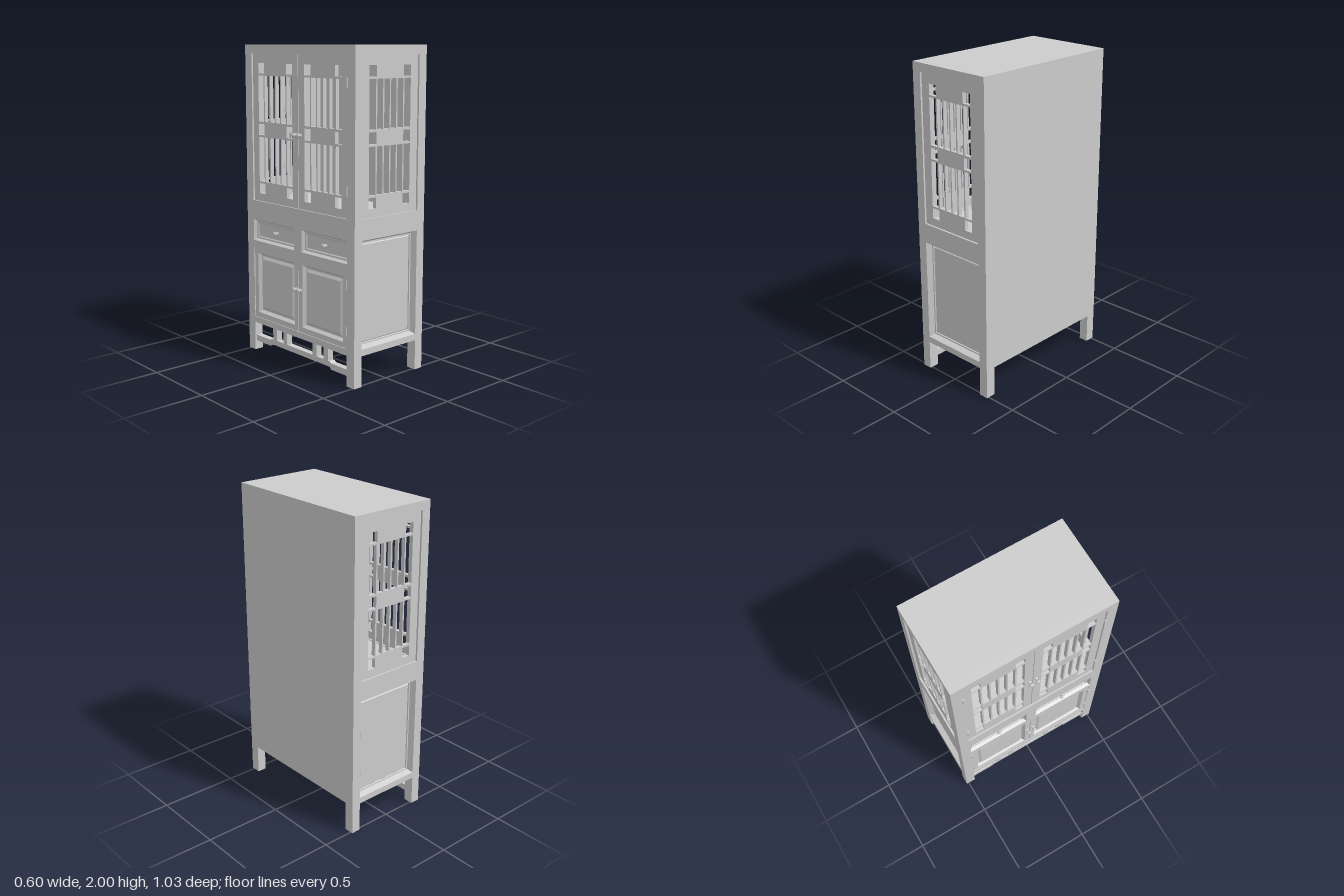
import * as THREE from 'three';

const mat = new THREE.MeshStandardMaterial({ color: 0xcccccc, side: THREE.DoubleSide });
const HX = 0.2875, HZ = 0.515, POST = 0.065;

function add(parent, name, geo, x = 0, y = 0, z = 0) {
  const m = new THREE.Mesh(geo, mat);
  m.name = name;
  m.position.set(x, y, z);
  parent.add(m);
  return m;
}

// box given by its limits
function block(parent, name, x0, x1, y0, y1, z0, z1) {
  return add(parent, name, new THREE.BoxGeometry(x1 - x0, y1 - y0, z1 - z0),
    (x0 + x1) / 2, (y0 + y1) / 2, (z0 + z1) / 2);
}

const rectPath = ([x0, x1, y0, y1]) => new THREE.Path(
  [[x0, y0], [x0, y1], [x1, y1], [x1, y0]].map(p => new THREE.Vector2(...p)));

// flat board with rectangular holes, front face at z = 0
function board(outline, holes, depth) {
  const s = new THREE.Shape(outline.map(p => new THREE.Vector2(...p)));
  s.holes = holes.map(rectPath);
  return new THREE.ExtrudeGeometry(s, { depth, bevelEnabled: false }).translate(0, 0, -depth);
}

// stepped rectangular moulding from [inset, z] rings, closed by a flat centre
function moulding(w, h, rings) {
  const corner = ([i, z], k) => {
    const sx = k % 4 === 1 || k % 4 === 2 ? 1 : -1, sy = k % 4 > 1 ? 1 : -1;
    return [sx * (w / 2 - i), sy * (h / 2 - i), z];
  };
  const v = [];
  const quad = (a, b, c, d) => v.push(...a, ...b, ...c, ...a, ...c, ...d);
  for (let r = 0; r < rings.length - 1; r++)
    for (let k = 0; k < 4; k++)
      quad(corner(rings[r], k), corner(rings[r], k + 1), corner(rings[r + 1], k + 1), corner(rings[r + 1], k));
  const last = rings[rings.length - 1];
  quad(...[0, 1, 2, 3].map(k => corner(last, k)));
  const g = new THREE.BufferGeometry();
  g.setAttribute('position', new THREE.Float32BufferAttribute(v, 3));
  g.computeVertexNormals();
  return g;
}

// lattice panel: corner squares and two rows of slender bars
function latticeGeometry(w) {
  const holes = [];
  const edges = [-0.1675, -0.11, -0.054, 0, 0.054, 0.11, 0.1675];
  for (const [y0, y1] of [[1.06, 1.125], [1.435, 1.505], [1.82, 1.885]])
    for (const s of [-1, 1]) holes.push([Math.min(s * 0.11, s * 0.1675), Math.max(s * 0.11, s * 0.1675), y0, y1]);
  for (const [y0, y1] of [[1.138, 1.422], [1.52, 1.808]])
    for (let i = 0; i < 6; i++)
      holes.push([edges[i] + (i ? 0.005 : 0), edges[i + 1] - (i < 5 ? 0.005 : 0), y0, y1]);
  return board([[-w / 2, 1.01], [w / 2, 1.01], [w / 2, 1.945], [-w / 2, 1.945]], holes, 0.025);
}

function knobGeometry() {
  const profile = [[0.012, 0], [0.012, 0.004], [0.006, 0.007], [0.006, 0.015],
    [0.016, 0.02], [0.015, 0.025], [0.008, 0.031], [0, 0.033]];
  return new THREE.LatheGeometry(profile.map(p => new THREE.Vector2(...p)), 16).rotateX(Math.PI / 2);
}

// end wall with legs, lattice and sunk lower panel
function endWall() {
  const g = new THREE.Group();
  const a = HX, b = HX - 0.06;
  add(g, 'endFrame', board(
    [[-a, 0], [-b, 0], [-b, 0.19], [b, 0.19], [b, 0], [a, 0], [a, 2], [-a, 2]],
    [[-b, b, 1.01, 1.945], [-b, b, 0.23, 0.885]], POST));
  add(g, 'endLattice', latticeGeometry(2 * b), 0, 0, -0.012);
  add(g, 'endLowerPanel', moulding(2 * b, 0.655,
    [[0, 0], [0.016, -0.035], [0.025, -0.035], [0.028, -0.042], [0.034, -0.036]]), 0, 0.5575, 0);
  return g;
}

// door side with lattice doors, drawers, lower doors and stretcher
function doorSide() {
  const g = new THREE.Group();
  const c = HZ - POST;
  add(g, 'doorFrame', board([[-c, 0.19], [c, 0.19], [c, 2], [-c, 2]],
    [[-c + 0.001, c - 0.001, 1.01, 1.945], [-c + 0.001, -0.035, 0.745, 0.885],
      [0.035, c - 0.001, 0.745, 0.885], [-c + 0.001, c - 0.001, 0.23, 0.7]], 0.05));
  const lattice = latticeGeometry(c - 0.004), knob = knobGeometry();
  for (const s of [-1, 1]) {
    add(g, 'upperDoor', lattice, s * c / 2, 0, -0.01);
    add(g, 'drawerFront', moulding(c - 0.035, 0.14,
      [[0, 0], [0.012, -0.02], [0.022, -0.02], [0.028, -0.026]]), s * (c + 0.035) / 2, 0.815, 0);
    add(g, 'lowerDoor', moulding(c - 0.004, 0.47,
      [[0, -0.04], [0, -0.005], [0.035, -0.005], [0.05, -0.025], [0.058, -0.025], [0.075, -0.014]]),
      s * c / 2, 0.465, 0);
    add(g, 'upperDoorKnob', knob, s * 0.022, 1.46, -0.01);
    add(g, 'drawerKnob', knob, s * 0.235, 0.815, -0.026);
    add(g, 'lowerDoorKnob', knob, s * 0.022, 0.5, -0.005);
    for (const y of [1.79, 1.17, 0.62, 0.335])
      add(g, 'hinge', new THREE.CylinderGeometry(0.006, 0.006, 0.055, 10), s * (c - 0.003), y, 0);
    // struts between stretcher and bottom rail
    for (const x of [0.145, 0.25])
      block(g, 'stretcherStrut', s * x - 0.02, s * x + 0.02, 0.1, 0.19, -0.05, -0.01);
  }
  add(g, 'stretcher', board([[-c, 0.06], [-0.3, 0.06], [-0.285, 0.075], [0.285, 0.075], [0.3, 0.06], [c, 0.06],
    [c, 0.1], [0.3, 0.1], [0.285, 0.11], [-0.285, 0.11], [-0.3, 0.1], [-c, 0.1]], [], 0.04), 0, 0, -0.01);
  return g;
}

export function createModel() {
  const model = new THREE.Group();
  model.name = 'cabinet';
  const body = new THREE.Group();
  body.name = 'body';
  body.position.x = 0.0125;
  model.add(body);

  for (const s of [-1, 1]) {
    const end = endWall();
    end.name = s > 0 ? 'frontEndWall' : 'backEndWall';
    end.position.z = s * HZ;
    if (s < 0) end.rotation.y = Math.PI;
    body.add(end);
  }
  const doors = doorSide();
  doors.name = 'doorSide';
  doors.rotation.y = -Math.PI / 2;
  doors.position.x = -HX;
  body.add(doors);

  // plain wall opposite the doors, and horizontal boards
  const c = HZ - POST;
  block(body, 'plainWall', HX - 0.03, HX, 0.19, 2, -c, c);
  block(body, 'topBoard', -HX + 0.05, HX - 0.03, 1.95, 2, -c, c);
  block(body, 'middleFloor', -HX + 0.045, HX - 0.03, 0.98, 1.005, -c - 0.02, c + 0.02);
  block(body, 'bottomBoard', -HX + 0.05, HX - 0.03, 0.19, 0.22, -c, c);
  return model;
}
